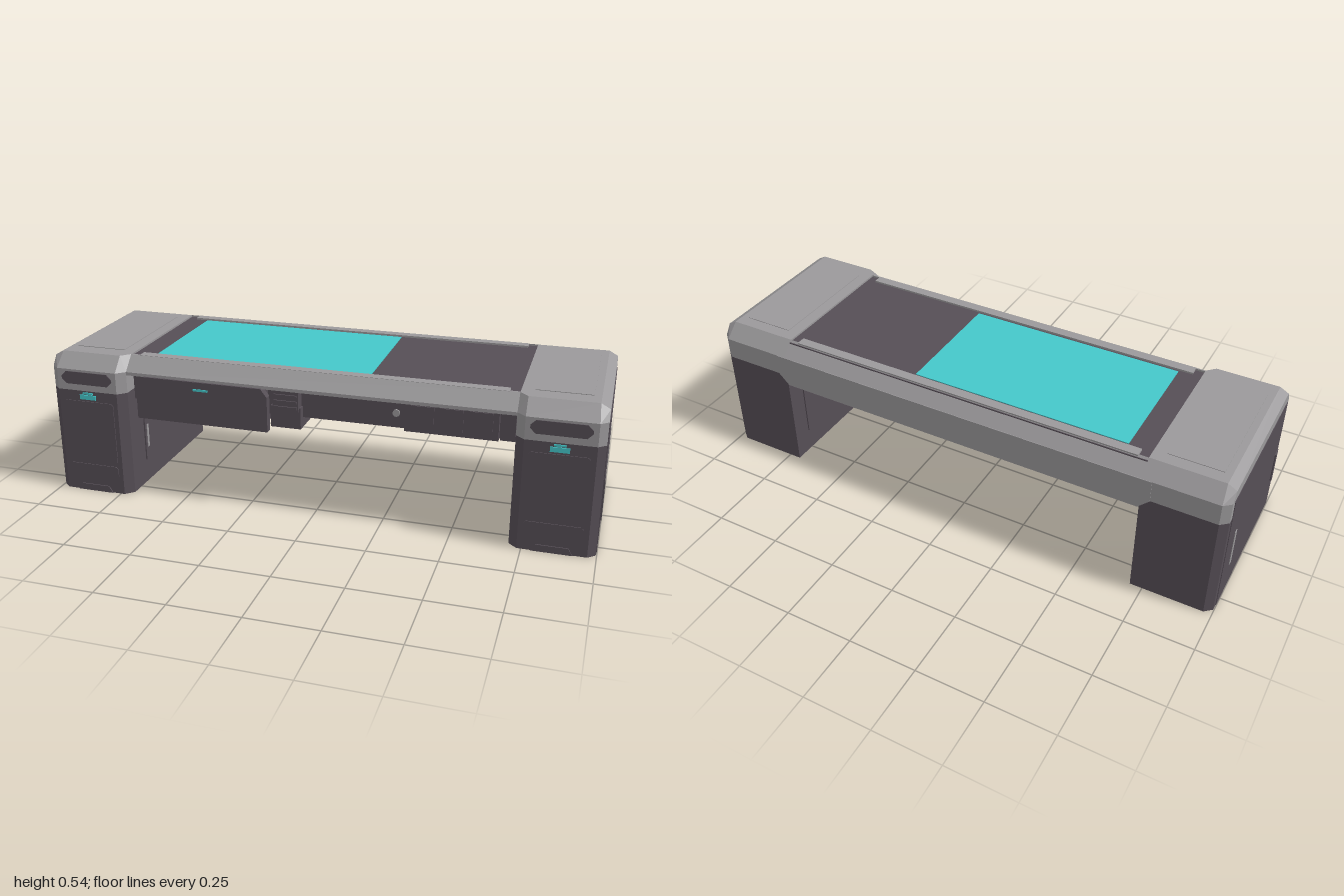
import * as THREE from 'three';
import { ConvexGeometry } from 'three/addons/geometries/ConvexGeometry.js';

export function createModel() {
  const group = new THREE.Group();
  group.name = 'desk';
  const material = (name, color) => {
    const m = new THREE.MeshStandardMaterial({ color, flatShading: true });
    m.name = name;
    return m;
  };
  const grey = material('light grey shell', 0x9b999b);
  const dark = material('dark grey panel', 0x564e56);
  const cyan = material('cyan screen', 0x45c8ca);

  const add = (name, geometry, mat) => {
    const mesh = new THREE.Mesh(geometry, mat);
    mesh.name = name;
    group.add(mesh);
    return mesh;
  };
  // Box given by its extents on each axis
  const box = (name, mat, x0, x1, y0, y1, z0, z1) => {
    const g = new THREE.BoxGeometry(Math.abs(x1 - x0), y1 - y0, z1 - z0);
    g.translate((x0 + x1) / 2, (y0 + y1) / 2, (z0 + z1) / 2);
    return add(name, g, mat);
  };
  const shapeOf = (pts) => new THREE.Shape(pts.map(([x, y]) => new THREE.Vector2(x, y)));
  // Plate drawn in x and y, running from z0 to z1
  const plate = (name, mat, pts, z0, z1) => {
    const g = new THREE.ExtrudeGeometry(shapeOf(pts), { depth: z1 - z0, bevelEnabled: false });
    g.translate(0, 0, z0);
    return add(name, g, mat);
  };
  // Rail with a profile in z and y, running along x
  const rail = (name, mat, pts, half) => {
    const g = new THREE.ExtrudeGeometry(shapeOf(pts), { depth: half * 2, bevelEnabled: false });
    g.rotateY(-Math.PI / 2);
    g.translate(half, 0, 0);
    return add(name, g, mat);
  };
  // Rectangle with cut corners, centred on cx
  const cutRect = (cx, w, y0, y1, c) => [
    [cx - w + c, y0], [cx + w - c, y0], [cx + w, y0 + c], [cx + w, y1 - c],
    [cx + w - c, y1], [cx - w + c, y1], [cx - w, y1 - c], [cx - w, y0 + c],
  ];

  // Pedestals, one per side
  for (const s of [1, -1]) {
    const side = s > 0 ? 'left' : 'right';
    const hull = (name, mat, pts) => add(name,
      new ConvexGeometry(pts.map(([x, y, z]) => new THREE.Vector3(s * x, y, z))), mat);
    const footprint = (y) => [
      [0.997, y, 0.31], [0.97, y, 0.333], [0.735, y, 0.333],
      [0.705, y, 0.305], [0.705, y, -0.333], [0.97, y, -0.333], [0.997, y, -0.31],
    ];
    hull(side + 'Pedestal', dark, [...footprint(0), ...footprint(0.4)]);
    hull(side + 'Cap', grey, [
      ...footprint(0.4), ...footprint(0.48),
      [0.997, 0.515, 0.285], [0.997, 0.515, -0.285],
      [0.965, 0.533, 0.285], [0.735, 0.533, 0.285], [0.705, 0.533, 0.255],
      [0.705, 0.533, -0.285], [0.965, 0.533, -0.285],
    ]);
    box(side + 'CapInlay', grey, s * 0.75, s * 0.94, 0.53, 0.535, -0.24, 0.22);

    // Outer side panel and handles
    box(side + 'SidePanel', dark, s * 0.99, s * 0.999, 0, 0.473, -0.285, 0.295);
    box(side + 'SideHandle', grey, s * 0.994, s * 1.001, 0.12, 0.27, -0.204, -0.184);
    hull(side + 'SideLatch', dark, [0.99, 1.003].flatMap((x) => [
      [x, 0.12, 0.284], [x, 0.27, 0.284], [x, 0.256, 0.262], [x, 0.135, 0.262]]));

    // Inner side panel and handle
    box(side + 'InnerPanel', dark, s * 0.7, s * 0.71, 0.09, 0.31, -0.26, 0.2);
    box(side + 'InnerHandle', grey, s * 0.698, s * 0.71, 0.14, 0.23, 0.175, 0.188);

    // Front: vent, indicator, drawer fronts and foot
    const cx = s * 0.852;
    plate(side + 'Vent', dark, cutRect(cx, 0.1, 0.425, 0.472, 0.018), 0.329, 0.336);
    plate(side + 'UpperDrawer', dark, cutRect(cx, 0.1, 0.113, 0.36, 0.008), 0.329, 0.336);
    plate(side + 'LowerDrawer', dark, cutRect(cx, 0.1, 0.062, 0.108, 0.008), 0.329, 0.336);
    plate(side + 'Foot', dark, [[cx - 0.07, 0], [cx + 0.07, 0], [cx + 0.055, 0.025],
      [cx - 0.055, 0.025]], 0.329, 0.337);
    box(side + 'Indicator', cyan, cx - 0.032, cx + 0.032, 0.368, 0.385, 0.33, 0.337);
    box(side + 'IndicatorTab', cyan, cx - 0.02, cx + 0.02, 0.388, 0.395, 0.33, 0.337);
  }

  // Centre slab, worktop and its screen
  box('centreSlab', dark, -0.705, 0.705, 0.358, 0.48, -0.325, 0.25);
  box('worktop', dark, -0.705, 0.705, 0.475, 0.526, -0.295, 0.26);
  box('screen', cyan, -0.62, 0.188, 0.522, 0.529, -0.245, 0.21);

  // Rails and lips framing the worktop
  rail('frontRail', grey, [[0.25, 0.468], [0.305, 0.468], [0.305, 0.48], [0.255, 0.533], [0.25, 0.533]], 0.706);
  rail('backRail', grey, [[-0.333, 0.36], [-0.32, 0.36], [-0.285, 0.45], [-0.285, 0.533], [-0.333, 0.48]], 0.706);
  for (const [name, z0, z1] of [['frontLip', 0.22, 0.256], ['backLip', -0.29, -0.255]]) {
    box(name, grey, -0.67, 0.67, 0.5, 0.533, z0, z1);
  }
  // Rear skirt with slanted ends over the pedestals
  plate('rearSkirt', grey, [[-0.74, 0.4], [-0.7, 0.36], [0.7, 0.36], [0.74, 0.4],
    [0.74, 0.48], [-0.74, 0.48]], -0.335, -0.33);

  // Hanging drawer with a cut-corner front
  box('drawerBody', dark, -0.64, -0.18, 0.33, 0.46, 0.1, 0.3);
  plate('drawerFront', dark, [[-0.665, 0.31], [-0.162, 0.31], [-0.162, 0.44], [-0.185, 0.47],
    [-0.635, 0.47], [-0.665, 0.44]], 0.285, 0.312);
  box('drawerIndicator', cyan, -0.44, -0.385, 0.437, 0.445, 0.308, 0.315);

  // Equipment boxes under the front edge
  box('smallUnit', dark, -0.162, -0.05, 0.32, 0.4, 0.13, 0.275);
  box('smallUnitFace', dark, -0.15, -0.055, 0.385, 0.462, 0.2, 0.285);
  for (let i = 0; i < 3; i++) {
    box('smallUnitRib', dark, -0.145, -0.06, 0.395 + i * 0.022, 0.405 + i * 0.022, 0.28, 0.29);
  }
  box('lockUnit', dark, 0.148, 0.322, 0.4, 0.462, 0.2, 0.275);
  const lock = new THREE.CylinderGeometry(0.013, 0.013, 0.008, 12);
  lock.rotateX(Math.PI / 2);
  lock.translate(0.295, 0.422, 0.277);
  add('lock', lock, grey);
  box('wideUnit', dark, 0.322, 0.645, 0.358, 0.47, 0.2, 0.275);
  for (const x of [0.345, 0.445, 0.545]) {
    box('wideUnitPanel', dark, x, x + 0.08, 0.375, 0.455, 0.27, 0.279);
  }
  box('endBracket', dark, 0.65, 0.7, 0.358, 0.47, 0.2, 0.265);

  return group;
}
